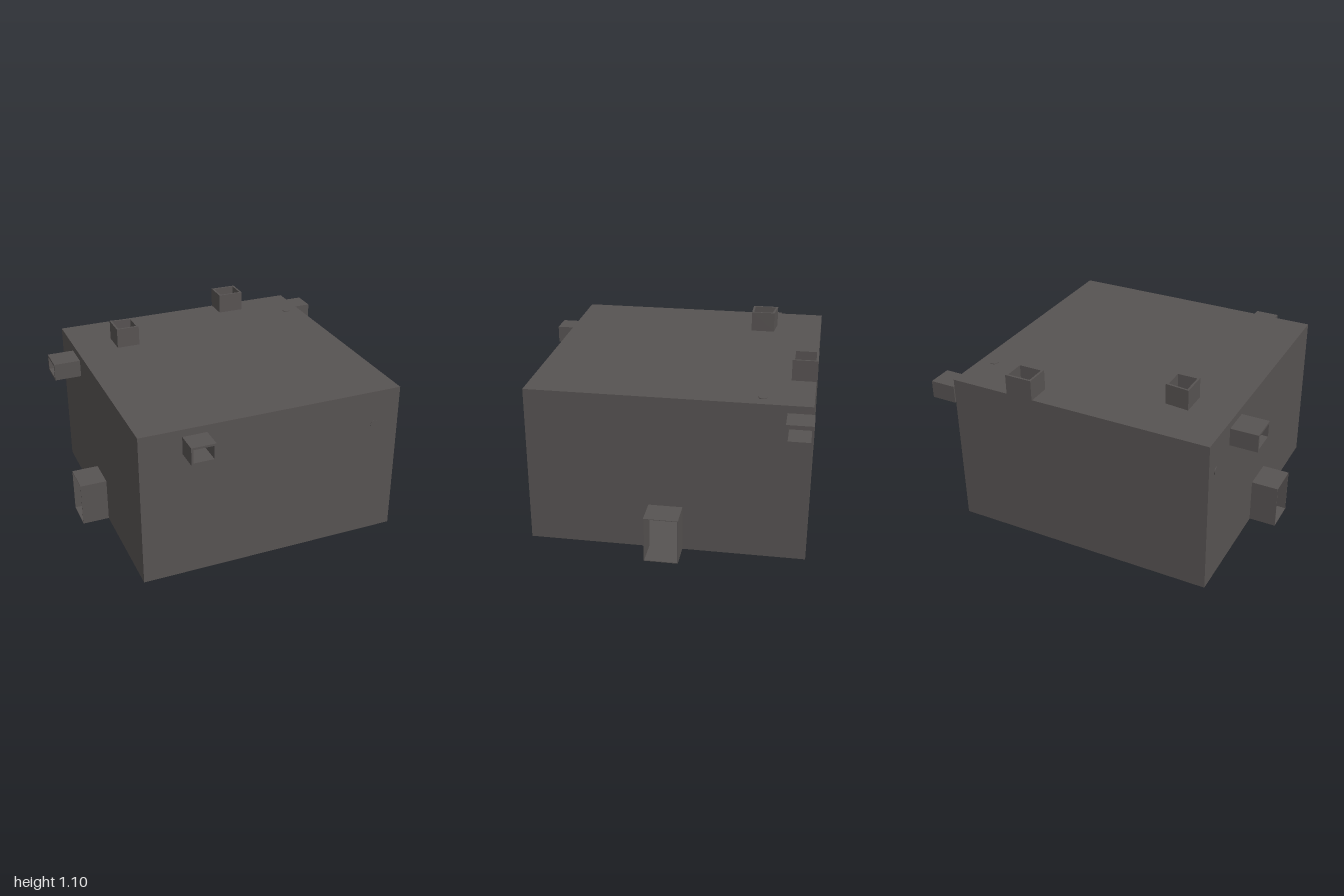
import * as THREE from 'three';

export function createModel() {
  const model = new THREE.Group();
  model.name = 'roomWithDucts';
  const concrete = new THREE.MeshStandardMaterial({ color: 0x575352, side: THREE.DoubleSide });
  concrete.name = 'dark grey concrete';

  const X = 0.83, FRONT = 0.765, BACK = -0.9, TOP = 0.975;
  const rect = (a, b, c, d) => [[a, c], [b, c], [b, d], [a, d]];
  const points = (list) => list.map(([u, v]) => new THREE.Vector2(u, v));
  // Moves every corner of a four-sided outline inwards
  const inset = (list, t) => {
    const cu = list.reduce((s, p) => s + p[0], 0) / 4;
    const cv = list.reduce((s, p) => s + p[1], 0) / 4;
    return list.map(([u, v]) => [u + Math.sign(cu - u) * t, v + Math.sign(cv - v) * t]);
  };

  // One side of the room in its own plane, local +z pointing outwards
  function addSide(name, outline, position, rotation, ducts = [], button = null) {
    const side = new THREE.Group();
    side.name = name;
    side.position.set(...position);
    side.rotation.set(...rotation);
    const add = (geometry, partName) => {
      const mesh = new THREE.Mesh(geometry, concrete);
      mesh.name = partName;
      side.add(mesh);
      return mesh;
    };
    const panel = new THREE.Shape(points(outline));
    for (const { name: ductName, corners, length, t } of ducts) {
      const opening = inset(corners, t);
      panel.holes.push(new THREE.Path(points(opening)));
      // Open sleeve standing out from the wall
      const ring = new THREE.Shape(points(corners));
      ring.holes.push(new THREE.Path(points(opening)));
      add(new THREE.ExtrudeGeometry(ring, { depth: length, bevelEnabled: false }), ductName);
    }
    add(new THREE.ShapeGeometry(panel), name + 'Panel');
    if (button) {
      const disc = add(new THREE.CylinderGeometry(0.025, 0.025, 0.004, 10), 'button');
      disc.rotation.x = Math.PI / 2;
      disc.position.set(button[0], button[1], 0.002);
    }
    model.add(side);
  }

  const H = Math.PI / 2;
  const duct = (corners, length) => ({ name: 'duct', corners, length, t: 0.013 });
  const passage = (corners) => ({ name: 'passage', corners, length: 0.17, t: 0.004 });

  // Walls
  addSide('frontWall', rect(-X, X, 0, TOP), [0, 0, FRONT], [0, 0, 0],
    [duct(rect(-0.57, -0.42, 0.82, 0.93), 0.14)], [0.665, 0.755]);
  addSide('backWall', rect(-X, X, 0, TOP), [0, 0, BACK], [0, Math.PI, 0]);
  addSide('leftWall', rect(-FRONT, -BACK, 0, TOP), [X, 0, 0], [0, H, 0], [
    passage(rect(-0.036, 0.168, 0.002, 0.284)),
    duct(rect(0.755, 0.909, 0.82, 0.93), 0.16),
  ]);
  addSide('rightWall', rect(BACK, FRONT, 0, TOP), [-X, 0, 0], [0, -H, 0], [
    passage(rect(-0.168, 0.036, 0.002, 0.284)),
    duct(rect(-0.61, -0.435, 0.82, 0.93), 0.17),
  ], [-0.8, 0.765]);

  // Roof with two upright ducts, one slightly skewed
  addSide('roof', rect(-X, X, -FRONT, -BACK), [0, TOP, 0], [-H, 0, 0], [
    duct([[-0.57, 0.44], [-0.422, 0.44], [-0.422, 0.59], [-0.57, 0.605]], 0.128),
    duct(rect(0.28, 0.45, 0.755, 0.905), 0.128),
  ], [0.735, 0.61]);

  // Floor
  addSide('floor', rect(-X, X, BACK, FRONT), [0, 0, 0], [H, 0, 0]);

  return model;
}
